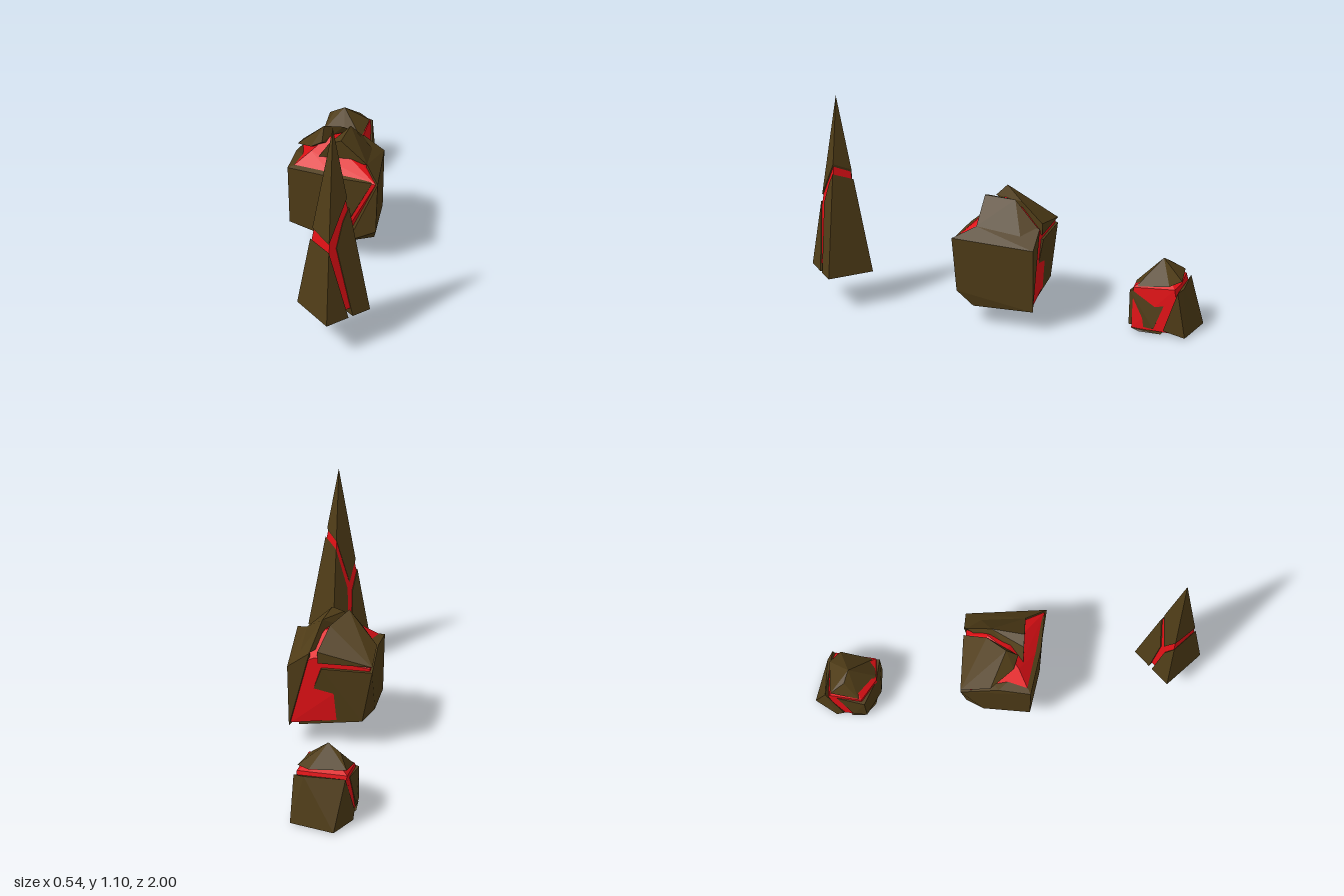
import * as THREE from 'three';
import { ConvexGeometry } from 'three/addons/geometries/ConvexGeometry.js';

const stone = new THREE.MeshStandardMaterial({ color: 0x4f3c17, flatShading: true });
const ember = new THREE.MeshStandardMaterial({ color: 0xe01015, flatShading: true });

// Convex chunk from its corners, optionally shrunk about the middle of its bounds
function chunk(name, corners, material = stone, shrink = 1) {
  const pts = corners.map(c => new THREE.Vector3(...c));
  const mid = new THREE.Box3().setFromPoints(pts).getCenter(new THREE.Vector3());
  pts.forEach(p => p.sub(mid).multiplyScalar(shrink).add(mid));
  const mesh = new THREE.Mesh(new ConvexGeometry(pts), material);
  mesh.name = name;
  return mesh;
}

// A cracked rock: separate stone shards around a glowing core
function rock(name, shards, coreCorners, shrink) {
  const group = new THREE.Group();
  group.name = name;
  for (const [part, corners] of Object.entries(shards)) group.add(chunk(part, corners));
  group.add(chunk('glowingCore', coreCorners, ember, shrink));
  return group;
}

// Tall four-sided spire, corners given along its edges
function createSpire() {
  const base = 0.18, top = 1.1, half = 0.17;
  const dirs = { f: [0, 1], b: [0, -1], l: [-1, 0], r: [1, 0] };
  const edge = (k, y) => {
    const s = half * (top - y) / (top - base);
    return [0.1 + dirs[k][0] * s, y, 0.83 + dirs[k][1] * s];
  };
  const face = (a, b, t, y) => {
    const p = edge(a, y), q = edge(b, y);
    return p.map((v, i) => v + (q[i] - v) * t);
  };
  const apex = [0.1, top, 0.83];
  return rock('spire', {
    spireTip: [apex, edge('f', 0.57), edge('r', 0.76), edge('b', 0.72), edge('l', 0.59),
      face('b', 'l', 0.6, 0.47)],
    spireRightShard: [edge('r', 0.71), face('f', 'r', 0.6, 0.65), face('f', 'r', 0.28, 0.54),
      face('f', 'r', 0.6, base), edge('r', base), edge('b', base), edge('b', 0.67),
      face('b', 'l', 0.44, base), face('b', 'l', 0.5, 0.44)],
    spireLeftShard: [edge('f', 0.53), edge('l', 0.53), edge('f', base), edge('l', base),
      face('f', 'r', 0.5, base), face('b', 'l', 0.53, base), face('b', 'l', 0.68, 0.42)],
  }, [apex, ...['f', 'b', 'l', 'r'].map(k => edge(k, base))], 0.91);
}

// Large boulder in the middle
function createBoulder() {
  return rock('boulder', {
    boulderLeftBlock: [
      [-0.26, 0.48, 0.13], [-0.02, 0.47, 0.17], [0.17, 0.46, 0.18], [0.09, 0.49, 0.08],
      [-0.15, 0.51, 0.07], [-0.25, 0.49, -0.03], [-0.25, 0.43, -0.22], [0.0, 0.43, -0.22],
      [-0.255, 0.17, 0.13], [-0.01, 0.11, 0.17], [0.12, 0.1, -0.19], [-0.25, 0.18, -0.11],
      [-0.2, 0.15, -0.2]],
    boulderRightBlock: [
      [0.2, 0.46, 0.19], [0.19, 0.18, 0.17], [0.05, 0.11, 0.165], [0.17, 0.1, 0.09],
      [0.165, 0.105, -0.22], [0.17, 0.43, -0.22], [0.06, 0.51, -0.22], [0.13, 0.51, 0.085]],
    boulderCrest: [
      [-0.12, 0.52, 0.085], [0.13, 0.51, 0.085], [0.0, 0.63, 0.085], [-0.06, 0.61, 0.085],
      [0.02, 0.63, -0.08], [0.06, 0.51, -0.21], [0.14, 0.45, -0.15]],
    boulderBackCap: [
      [-0.25, 0.46, -0.22], [0.02, 0.46, -0.22], [0.02, 0.52, -0.22], [-0.25, 0.51, -0.07],
      [-0.17, 0.57, -0.05], [-0.16, 0.56, 0.04], [-0.1, 0.66, 0], [-0.02, 0.61, -0.1],
      [-0.1, 0.6, 0.06]],
  }, [
    [-0.26, 0.48, 0.13], [0.2, 0.46, 0.19], [-0.02, 0.47, 0.17], [-0.255, 0.17, 0.13],
    [0.02, 0.11, 0.17], [0.17, 0.1, 0.09], [0.165, 0.105, -0.22], [0.17, 0.43, -0.22],
    [0.04, 0.49, -0.22], [-0.25, 0.45, -0.22], [-0.25, 0.18, -0.11], [-0.2, 0.15, -0.2],
    [-0.16, 0.56, 0.07], [0.1, 0.53, 0.07], [-0.08, 0.62, 0], [0, 0.6, -0.1]], 0.95);
}

// Small rock at the back
function createSmallRock() {
  return rock('smallRock', {
    smallRockCap: [
      [-0.14, 0.355, -0.8], [-0.2, 0.32, -0.82], [-0.25, 0.23, -0.75], [-0.12, 0.225, -0.67],
      [-0.03, 0.23, -0.69], [-0.01, 0.26, -0.86], [-0.07, 0.27, -0.91], [-0.24, 0.27, -0.89]],
    smallRockFrontBlock: [
      [-0.27, 0.2, -0.72], [-0.14, 0.2, -0.67], [-0.025, 0.21, -0.66], [-0.015, 0.22, -0.86],
      [-0.25, 0.22, -0.86], [-0.27, 0.03, -0.72], [-0.14, 0.03, -0.655], [-0.02, 0.03, -0.66],
      [0.005, 0.03, -0.79], [-0.27, 0.03, -0.79]],
    smallRockBackBlock: [
      [-0.24, 0.24, -0.92], [-0.05, 0.24, -0.925], [0.0, 0.235, -0.905], [0.01, 0.005, -0.95],
      [-0.2, 0.005, -1], [-0.27, 0.01, -0.88], [-0.27, 0.04, -0.84], [0.01, 0.03, -0.84]],
    smallRockBottomPlate: [
      [-0.27, 0.02, -0.73], [-0.27, 0.01, -0.8], [-0.2, 0.005, -0.68], [-0.14, 0.02, -0.67],
      [0.0, 0.02, -0.68], [0.01, 0.01, -0.72], [0.01, 0.01, -0.83], [-0.2, 0, -0.84]],
  }, [
    [-0.14, 0.33, -0.8], [-0.26, 0.225, -0.73], [-0.14, 0.22, -0.66], [-0.02, 0.23, -0.67],
    [-0.005, 0.25, -0.89], [-0.07, 0.26, -0.91], [-0.25, 0.25, -0.9], [-0.27, 0.02, -0.72],
    [-0.14, 0.01, -0.66], [0, 0.01, -0.67], [0.01, 0.01, -0.94], [-0.2, 0.01, -0.98],
    [-0.27, 0.01, -0.88]], 0.95);
}

export function createModel() {
  const model = new THREE.Group();
  model.name = 'crackedRocks';
  model.add(createSpire(), createBoulder(), createSmallRock());
  return model;
}
